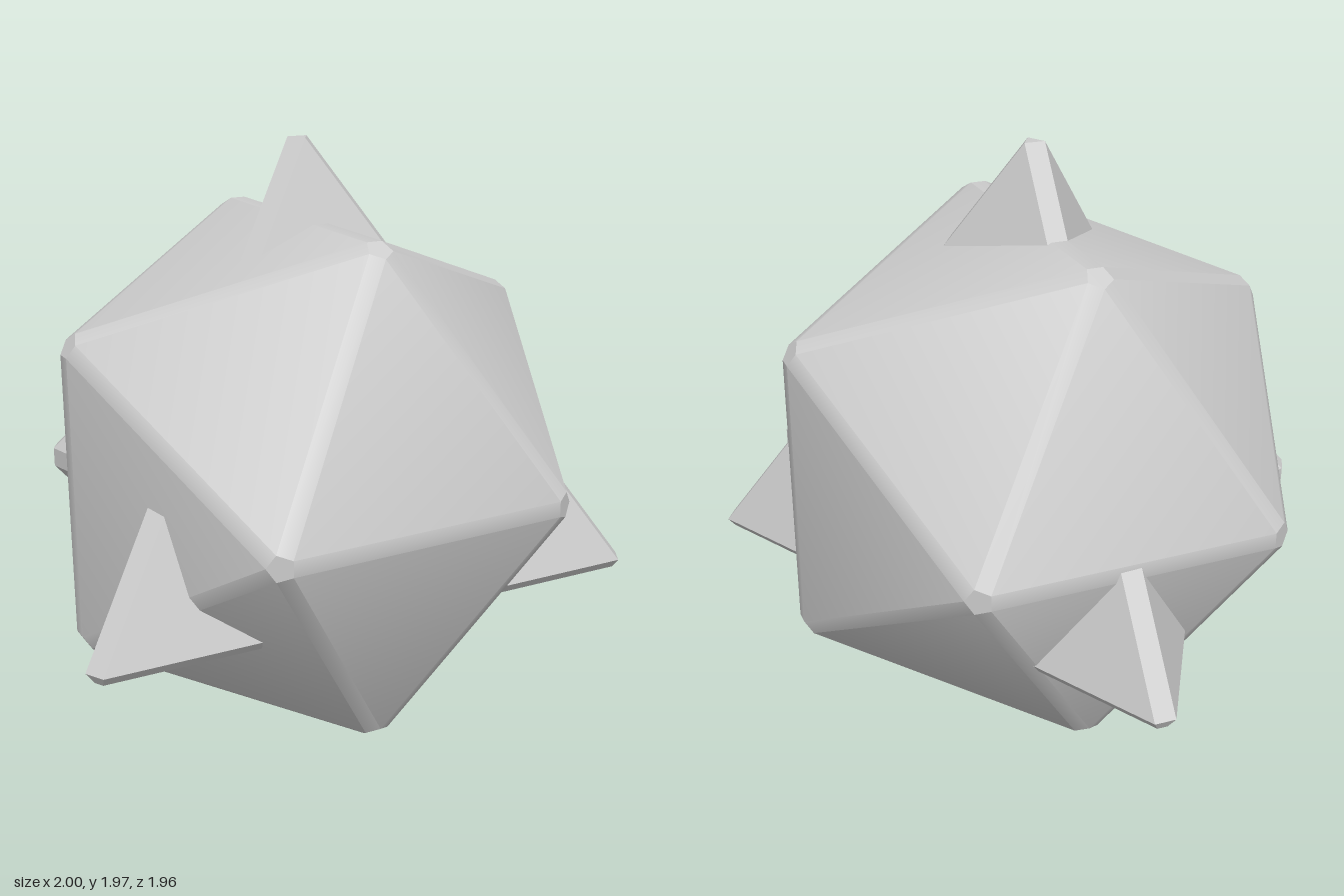
import * as THREE from 'three';
import { ConvexGeometry } from 'three/addons/geometries/ConvexGeometry.js';
import { toCreasedNormals } from 'three/addons/utils/BufferGeometryUtils.js';

const V = (x, y, z) => new THREE.Vector3(x, y, z);

// Icosahedron with bevelled edges: pull each face's corners toward its centre, then wrap
function icosahedronGeometry(radius, inset) {
  const base = new THREE.IcosahedronGeometry(radius, 0);
  base.rotateY(-Math.atan((1 + Math.sqrt(5)) / 2)); // puts two corners on the z axis
  const pos = base.getAttribute('position');
  const points = [];
  for (let i = 0; i < pos.count; i += 3) {
    const tri = [0, 1, 2].map((k) => V().fromBufferAttribute(pos, i + k));
    const centre = V(0, 0, 0).add(tri[0]).add(tri[1]).add(tri[2]).divideScalar(3);
    tri.forEach((p) => points.push(p.lerp(centre, inset)));
  }
  return toCreasedNormals(new ConvexGeometry(points), 0.5);
}

// Octahedron with bevelled edges: a small square at each of the six tips
function octahedronGeometry(a, w) {
  const points = [];
  for (const s of [-1, 1]) for (const u of [-w, w]) for (const v of [-w, w]) {
    points.push(V(s * a, u, v), V(u, s * a, v), V(u, v, s * a));
  }
  return new ConvexGeometry(points);
}

// Tetrahedron with bevelled edges: a small triangle on top, blunt-cornered triangles below
function tetrahedronGeometry() {
  const points = [];
  const rings = [
    { r: 1.113, w: 0.035, y: -0.355 },
    { r: 1.095, w: 0.017, y: -0.388 },
  ];
  for (let i = 0; i < 3; i++) {
    const angle = (i * Math.PI * 2) / 3;
    const c = Math.cos(angle), s = Math.sin(angle);
    points.push(V(-0.04 * c, 1.106, -0.04 * s));
    for (const { r, w, y } of rings) {
      for (const side of [-w, w]) points.push(V(r * c - side * s, y, r * s + side * c));
    }
  }
  return new ConvexGeometry(points);
}

export function createModel() {
  const model = new THREE.Group();
  model.name = 'nestedSolids';
  const smooth = new THREE.MeshStandardMaterial({ color: 0xcccccc });
  const flat = new THREE.MeshStandardMaterial({ color: 0xcccccc, flatShading: true });

  const add = (name, geometry, material) => {
    const mesh = new THREE.Mesh(geometry, material);
    mesh.name = name;
    mesh.position.set(-0.115, 0.865, 0); // shared centre
    model.add(mesh);
  };
  add('icosahedron', icosahedronGeometry(1, 0.093), smooth);
  add('tetrahedron', tetrahedronGeometry(), flat);
  add('octahedron', octahedronGeometry(0.865, 0.032), flat);
  return model;
}
